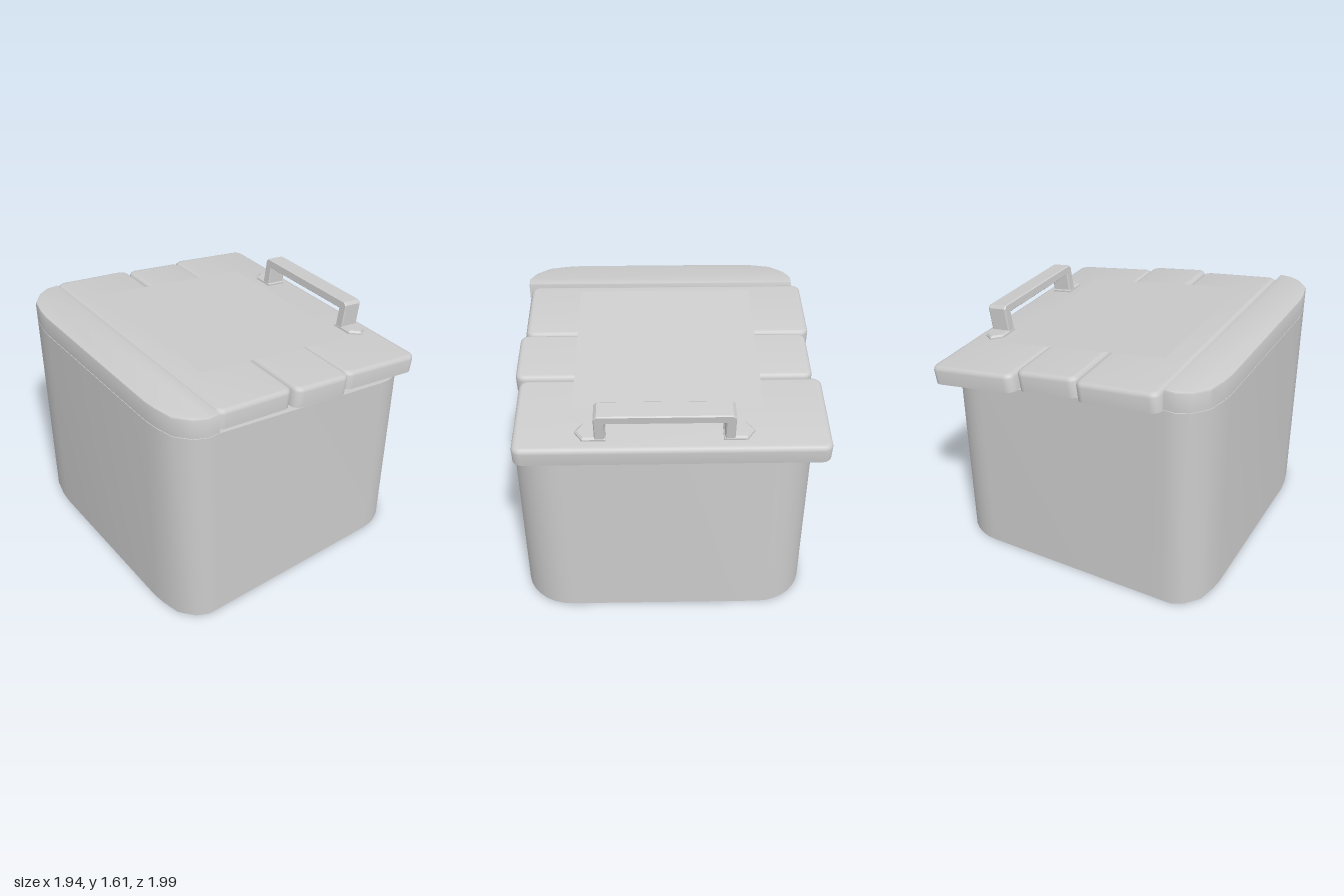
import * as THREE from 'three';
import { toCreasedNormals } from 'three/addons/utils/BufferGeometryUtils.js';

const material = new THREE.MeshStandardMaterial({ color: 0xcccccc, side: THREE.DoubleSide });

function part(name, geometry) {
  const mesh = new THREE.Mesh(geometry, material);
  mesh.name = name;
  return mesh;
}

// Upright slab from an outline drawn in (x, -z); only its top edge is rounded
function slab(outline, height, bevel, segments = 3) {
  const geo = new THREE.ExtrudeGeometry(outline, {
    depth: height - bevel, bevelEnabled: bevel > 0, bevelThickness: bevel,
    bevelSize: bevel, bevelOffset: -bevel, bevelSegments: segments, curveSegments: 4,
  });
  const p = geo.attributes.position;
  for (let i = 0; i < p.count; i++) p.setZ(i, Math.max(0, p.getZ(i)));
  geo.rotateX(-Math.PI / 2);
  return toCreasedNormals(geo, 0.6);
}

function polygon(points) {
  return new THREE.Shape(points.map(([x, z]) => new THREE.Vector2(x, -z)));
}

// Rectangle with small rounded corners, centred on the origin
function roundedRect(w, d, r) {
  const s = new THREE.Shape(), x = w / 2, y = d / 2;
  s.absarc(x - r, y - r, r, 0, Math.PI / 2);
  s.absarc(-x + r, y - r, r, Math.PI / 2, Math.PI);
  s.absarc(-x + r, -y + r, r, Math.PI, Math.PI * 1.5);
  s.absarc(x - r, -y + r, r, Math.PI * 1.5, Math.PI * 2);
  return s;
}

export function createModel() {
  const model = new THREE.Group();
  const zBack = -0.925, zFront = 0.985, zMid = 0.03, zHalf = 0.955;

  // Left edge with its faceted corners, from front to back
  const half = [[-0.69, zHalf], [-0.77, zHalf], [-0.85, 0.915], [-0.93, 0.82], [-0.96, 0.69], [-0.97, 0.6]];
  const leftEdge = [
    ...half.map(([x, z]) => [x, zMid + z]),
    ...half.slice().reverse().map(([x, z]) => [x, zMid - z]),
  ];

  // Bin body with wide rounded corners on the low side
  const r = 0.32, right = 0.95, rightEdge = [];
  for (const side of [-1, 1]) {
    for (let i = 0; i <= 8; i++) {
      const a = side * (Math.PI / 2) * (side < 0 ? 1 - i / 8 : i / 8);
      const z = side < 0 ? zBack + r : zFront - r;
      rightEdge.push([right - r + r * Math.cos(a), z + r * Math.sin(a)]);
    }
  }
  const bodyGeo = new THREE.ExtrudeGeometry(polygon([...leftEdge, ...rightEdge].reverse()), {
    depth: 1.46, bevelEnabled: false,
  });
  bodyGeo.rotateX(-Math.PI / 2);
  const p = bodyGeo.attributes.position;
  for (let i = 0; i < p.count; i++) {
    // The rim slopes down from the fixed rail
    if (p.getY(i) > 1) p.setY(i, 1.46 - Math.max(0, p.getX(i) + 0.69) * 0.137);
  }
  model.add(part('body', toCreasedNormals(bodyGeo, 0.6)));

  // Fixed rail on the high side
  const rail = part('rail', slab(polygon(leftEdge.slice().reverse()), 0.135, 0.012, 2));
  rail.position.y = 1.465;
  model.add(rail);

  // Sloping lid planks: [left x, top y, right x, top y, back z, front z, thickness]
  const planks = [
    [-0.67, 1.585, -0.115, 1.517, -0.98, 0.96, 0.128],
    [-0.1, 1.522, 0.33, 1.46, -0.95, 0.99, 0.135],
    [0.342, 1.45, 0.965, 1.357, -1.0, 0.96, 0.122],
  ];
  planks.forEach(([x0, y0, x1, y1, z0, z1, t], i) => {
    const len = Math.hypot(x1 - x0, y1 - y0);
    const geo = slab(roundedRect(len + 0.012, z1 - z0, 0.06), t, 0.03);
    geo.translate(0, -t, 0);
    const plank = part('lidPlank' + (i + 1), geo);
    plank.position.set((x0 + x1) / 2, (y0 + y1) / 2, (z0 + z1) / 2);
    plank.rotation.z = Math.atan2(y1 - y0, x1 - x0);
    model.add(plank);
  });

  // Thin square panel laid over the planks
  const panelGeo = new THREE.PlaneGeometry(Math.hypot(1.19, 0.18), 1.2);
  panelGeo.rotateX(-Math.PI / 2);
  const panel = part('panel', panelGeo);
  panel.position.set(0.055, 1.523, 0);
  panel.rotation.z = -Math.atan2(0.18, 1.19);
  model.add(panel);

  // Handle: a flat U-shaped strap on two pointed feet
  const handle = new THREE.Group();
  handle.name = 'handle';
  const h = 0.205, o = 0.43, n = 0.367, c = 0.02;
  const strap = new THREE.Shape([
    [-o, 0], [-n, 0], [-n, h - 0.06], [n, h - 0.06], [n, 0], [o, 0],
    [o, h - c], [o - c, h], [-o + c, h], [-o, h - c],
  ].map(([x, y]) => new THREE.Vector2(x, y)));
  const strapGeo = new THREE.ExtrudeGeometry(strap, { depth: 0.124, bevelEnabled: true, bevelThickness: 0.008, bevelSize: 0.006, bevelOffset: -0.006, bevelSegments: 1 });
  strapGeo.translate(0, 0, -0.062);
  strapGeo.rotateY(Math.PI / 2);
  handle.add(part('handleStrap', toCreasedNormals(strapGeo, 0.5)));
  for (const s of [-1, 1]) {
    const outline = [[-0.072, 0.36], [-0.072, 0.505], [0, 0.555], [0.072, 0.505], [0.072, 0.36]];
    const foot = part('handleFoot', slab(polygon(outline), 0.03, 0.012, 1));
    foot.rotation.y = s < 0 ? Math.PI : 0;
    handle.add(foot);
  }
  handle.position.set(0.818, 1.372, 0.025);
  handle.rotation.z = -0.14;
  model.add(handle);

  return model;
}
